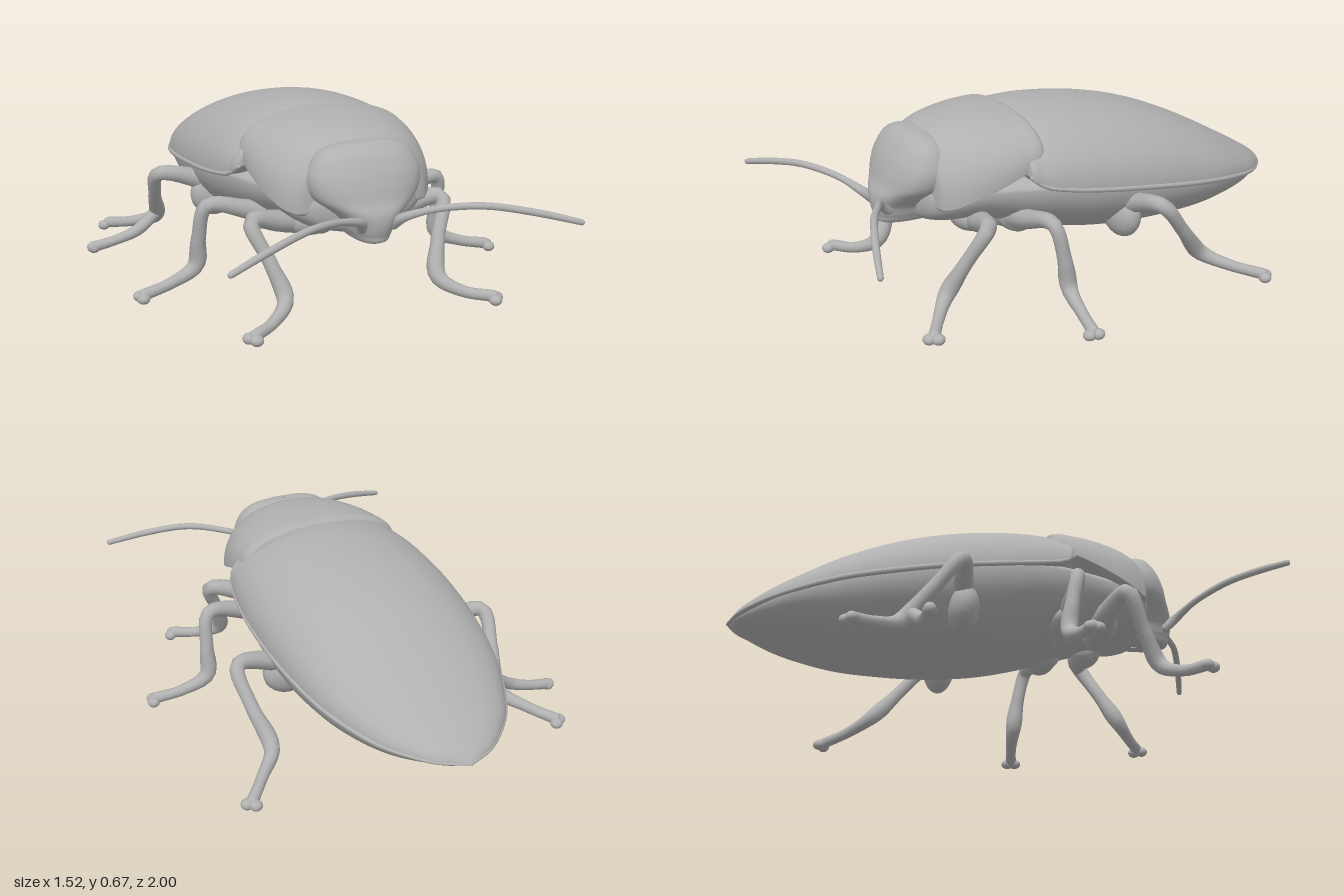
import * as THREE from 'three';
import { ParametricGeometry } from 'three/addons/geometries/ParametricGeometry.js';

const CENTRE_X = 0.02;

// Smoothly interpolate a row of section values at t in 0..1
function sample(rows, t) {
  const f = t * (rows.length - 1);
  const i = Math.min(Math.floor(f), rows.length - 2);
  const k = f - i;
  const a = rows[Math.max(i - 1, 0)], b = rows[i], c = rows[i + 1], d = rows[Math.min(i + 2, rows.length - 1)];
  return b.map((_, j) => b[j] + 0.5 * k * (c[j] - a[j] +
    k * (2 * a[j] - 5 * b[j] + 4 * c[j] - d[j] + k * (3 * (b[j] - c[j]) + d[j] - a[j]))));
}

const power = (v, e) => Math.sign(v) * Math.abs(v) ** e;

// Loft along z; rows are [z, half width, top, widest height, bottom], back to front
function bodyLoft(rows, n = 2) {
  return new ParametricGeometry((u, v, p) => {
    const [z, w, top, edge, bottom] = sample(rows, v);
    const a = u * Math.PI * 2;
    const s = power(Math.sin(a), 2 / n);
    p.set(Math.max(w, 0.003) * power(Math.cos(a), 2 / n), edge + s * (s > 0 ? top - edge : edge - bottom), z);
  }, 64, 60);
}

// Loft along y; rows are [y, half width, front z, back z], top to bottom
function headLoft(rows) {
  return new ParametricGeometry((u, v, p) => {
    const [y, w, front, back] = sample(rows, v);
    const a = u * Math.PI * 2, mid = 0.57;
    const s = power(Math.sin(a), 0.85);
    p.set(w * power(Math.cos(a), 0.85), y, mid + s * (s > 0 ? front - mid : mid - back));
  }, 48, 40);
}

// Tube whose thickness follows a list of radii, with rounded ends
function limb(name, points, radii, material) {
  const group = new THREE.Group();
  group.name = name;
  const curve = new THREE.CatmullRomCurve3(points.map(p => new THREE.Vector3(...p)), false, 'centripetal');
  const steps = 36, sides = 12;
  const geo = new THREE.TubeGeometry(curve, steps, 1, sides);
  const pos = geo.attributes.position, v = new THREE.Vector3();
  const rows = radii.map(r => [r]);
  for (let i = 0; i <= steps; i++) {
    const c = curve.getPointAt(i / steps), r = sample(rows, i / steps)[0];
    for (let j = 0; j <= sides; j++) {
      const k = i * (sides + 1) + j;
      v.fromBufferAttribute(pos, k).sub(c).multiplyScalar(r).add(c);
      pos.setXYZ(k, v.x, v.y, v.z);
    }
  }
  group.add(new THREE.Mesh(geo, material));
  [0, points.length - 1].forEach(i => group.add(
    ball(name + 'End', points[i], Array(3).fill(radii[i ? radii.length - 1 : 0]), material)));
  return group;
}

function ball(name, position, size, material) {
  const mesh = new THREE.Mesh(new THREE.SphereGeometry(1, 20, 14), material);
  mesh.name = name;
  mesh.position.set(...position);
  mesh.scale.set(...size);
  return mesh;
}

export function createModel() {
  const model = new THREE.Group();
  model.name = 'beetle';
  const grey = new THREE.MeshStandardMaterial({ color: 0xb0b0b0, side: THREE.DoubleSide });
  grey.name = 'shell grey';
  const body = new THREE.Group();
  body.name = 'body';
  body.position.x = CENTRE_X;
  model.add(body);
  const add = (name, geometry) => {
    const mesh = new THREE.Mesh(geometry, grey);
    mesh.name = name;
    body.add(mesh);
  };

  // Abdomen and underside of the thorax
  add('underside', bodyLoft([
    [-0.99, 0.003, 0.262, 0.26, 0.255], [-0.95, 0.09, 0.29, 0.265, 0.235], [-0.8, 0.24, 0.32, 0.29, 0.19],
    [-0.6, 0.33, 0.37, 0.325, 0.148], [-0.4, 0.375, 0.41, 0.355, 0.138], [-0.2, 0.39, 0.44, 0.385, 0.142],
    [0, 0.385, 0.47, 0.41, 0.168], [0.2, 0.35, 0.5, 0.43, 0.22], [0.38, 0.29, 0.5, 0.43, 0.275],
    [0.54, 0.25, 0.5, 0.41, 0.295], [0.6, 0.16, 0.48, 0.4, 0.32], [0.61, 0.003, 0.41, 0.4, 0.39],
  ]));

  // Wing cases: domed shell with a nearly flat lower face
  const shell = [
    [-1, 0.003, 0.263, 0.26, 0.257], [-0.96, 0.1, 0.3, 0.266, 0.257], [-0.9, 0.172, 0.338, 0.275, 0.265],
    [-0.8, 0.255, 0.395, 0.29, 0.28], [-0.6, 0.345, 0.502, 0.325, 0.315], [-0.4, 0.385, 0.587, 0.355, 0.345],
    [-0.2, 0.402, 0.64, 0.385, 0.375], [0, 0.4, 0.667, 0.412, 0.402], [0.14, 0.387, 0.668, 0.435, 0.425],
    [0.22, 0.372, 0.65, 0.455, 0.445], [0.265, 0.352, 0.615, 0.49, 0.48], [0.28, 0.25, 0.57, 0.51, 0.5],
  ];
  add('wingCases', bodyLoft(shell, 2.1));

  // Raised rim along the lower edge of the wing cases
  [-1, 1].forEach(side => body.add(limb('wingCaseRim',
    shell.slice(0, -1).map(([z, w, , y]) => [side * (w - 0.004), y, z]), [0.005, 0.01, 0.01, 0.008], grey)));

  // Shield over the thorax, its edge sloping down towards the head
  add('thoraxShield', bodyLoft([
    [0.185, 0.2, 0.61, 0.56, 0.55], [0.195, 0.315, 0.668, 0.54, 0.53], [0.28, 0.333, 0.677, 0.505, 0.49],
    [0.38, 0.328, 0.672, 0.465, 0.45], [0.48, 0.305, 0.655, 0.425, 0.405], [0.545, 0.27, 0.628, 0.4, 0.375],
    [0.58, 0.22, 0.595, 0.4, 0.38], [0.585, 0.05, 0.5, 0.43, 0.41],
  ], 2.3));

  // Head narrowing down to the mouth
  add('head', headLoft([
    [0.632, 0.004, 0.575, 0.565], [0.628, 0.1, 0.6, 0.53], [0.6, 0.168, 0.64, 0.49], [0.55, 0.203, 0.675, 0.47],
    [0.5, 0.212, 0.697, 0.47], [0.45, 0.195, 0.713, 0.48], [0.41, 0.145, 0.733, 0.5], [0.37, 0.1, 0.737, 0.52],
    [0.33, 0.082, 0.728, 0.53], [0.3, 0.06, 0.71, 0.55], [0.292, 0.004, 0.6, 0.565],
  ]));

  // Legs as [hip, thigh, knee, shin, ankle, foot, toe] for the left side, mirrored to the right
  const legs = {
    frontLeg: [[0.08, 0.29, 0.4], [0.24, 0.32, 0.42], [0.375, 0.345, 0.46], [0.33, 0.21, 0.53], [0.3, 0.09, 0.595], [0.37, 0.045, 0.66], [0.46, 0.035, 0.72]],
    middleLeg: [[0.1, 0.27, 0.26], [0.3, 0.32, 0.265], [0.465, 0.35, 0.245], [0.49, 0.22, 0.215], [0.5, 0.105, 0.2], [0.6, 0.055, 0.21], [0.705, 0.035, 0.23]],
    hindLeg: [[0.16, 0.24, -0.12], [0.36, 0.32, -0.16], [0.515, 0.35, -0.19], [0.505, 0.23, -0.29], [0.475, 0.105, -0.4], [0.55, 0.06, -0.49], [0.625, 0.035, -0.58]],
  };
  const hips = { frontLeg: [0.13, 0.31, 0.42], middleLeg: [0.18, 0.29, 0.25], hindLeg: [0.3, 0.26, -0.15] };
  const radii = [0.045, 0.046, 0.042, 0.034, 0.029, 0.026, 0.027, 0.033, 0.025, 0.021, 0.022];
  const claws = (name, toe, before) => {
    // Two lobes at the toe, spread across the foot direction
    const dir = new THREE.Vector3(toe[0] - before[0], 0, toe[2] - before[2]).normalize();
    [-1, 1].forEach(k => body.add(ball(name,
      [toe[0] + dir.x * 0.012 - k * dir.z * 0.016, 0.026, toe[2] + dir.z * 0.012 + k * dir.x * 0.016],
      [0.024, 0.02, 0.024], grey)));
  };
  [1, -1].forEach(side => {
    const label = side > 0 ? 'left' : 'right';
    for (const [name, path] of Object.entries(legs)) {
      const points = path.map(([x, y, z]) => [side * x, y, z]);
      const [x, y, z] = hips[name];
      body.add(limb(`${label} ${name}`, points, radii, grey));
      body.add(ball(`${label} ${name} hip`, [side * x, y, z], [0.1, name === 'hindLeg' ? 0.09 : 0.055, 0.06], grey));
      claws(`${label} ${name} claw`, points[6], points[5]);
    }
    // Long curved feelers
    body.add(limb(`${label} feeler`, [[0.06, 0.36, 0.7], [0.08, 0.395, 0.74], [0.18, 0.428, 0.79],
      [0.32, 0.445, 0.865], [0.48, 0.422, 0.93], [0.637, 0.383, 0.985]].map(([a, b, c]) => [side * a, b, c]),
    [0.02, 0.013, 0.013, 0.013, 0.013, 0.011], grey));
  });

  // Extra foot branching sideways from the right hind ankle
  body.add(limb('right hind side foot', [[-0.485, 0.13, -0.36], [-0.57, 0.075, -0.335], [-0.66, 0.045, -0.335],
    [-0.755, 0.028, -0.335]], [0.026, 0.024, 0.02, 0.022], grey));
  body.add(ball('right hind side claw', [-0.75, 0.024, -0.335], [0.024, 0.02, 0.024], grey));
  return model;
}
